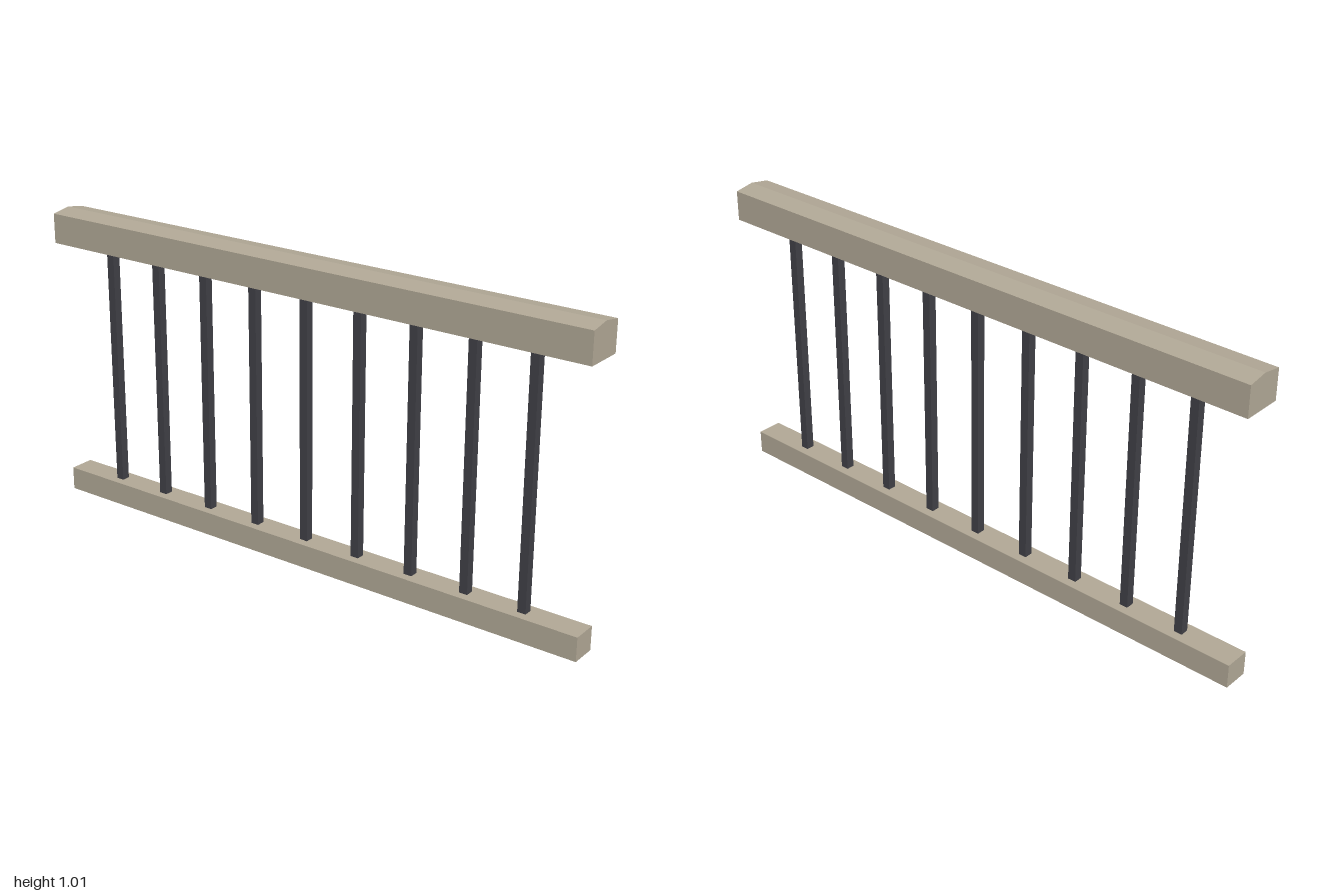
import * as THREE from 'three';

const LENGTH = 2;

export function createModel() {
  const group = new THREE.Group();
  group.name = 'railing';
  const stone = new THREE.MeshStandardMaterial({ name: 'warm stone', color: 0xb0a795 });
  const iron = new THREE.MeshStandardMaterial({ name: 'dark iron', color: 0x404046 });

  const add = (name, geometry, material, x, y) => {
    const mesh = new THREE.Mesh(geometry, material);
    mesh.name = name;
    mesh.position.set(x, y, 0);
    group.add(mesh);
  };

  // Top rail: five-sided section with a shallow ridge, run along x
  const section = new THREE.Shape([
    [-0.066, 0.9], [0.066, 0.9], [0.066, 1.0], [0, 1.011], [-0.066, 1.0],
  ].map(([z, y]) => new THREE.Vector2(z, y)));
  const railGeometry = new THREE.ExtrudeGeometry(section, { depth: LENGTH, bevelEnabled: false });
  railGeometry.translate(0, 0, -LENGTH / 2).rotateY(Math.PI / 2);
  add('topRail', railGeometry, stone, 0, 0);

  // Bottom rail
  const bottomTop = 0.079;
  add('bottomRail', new THREE.BoxGeometry(LENGTH, bottomTop, 0.086), stone, 0, bottomTop / 2);

  // Nine square balusters between the rails
  const barHeight = 0.9 - bottomTop;
  const barGeometry = new THREE.BoxGeometry(0.028, barHeight, 0.028);
  for (let i = -4; i <= 4; i++) {
    add(`baluster${i + 5}`, barGeometry, iron, i * 0.2, bottomTop + barHeight / 2);
  }

  return group;
}
